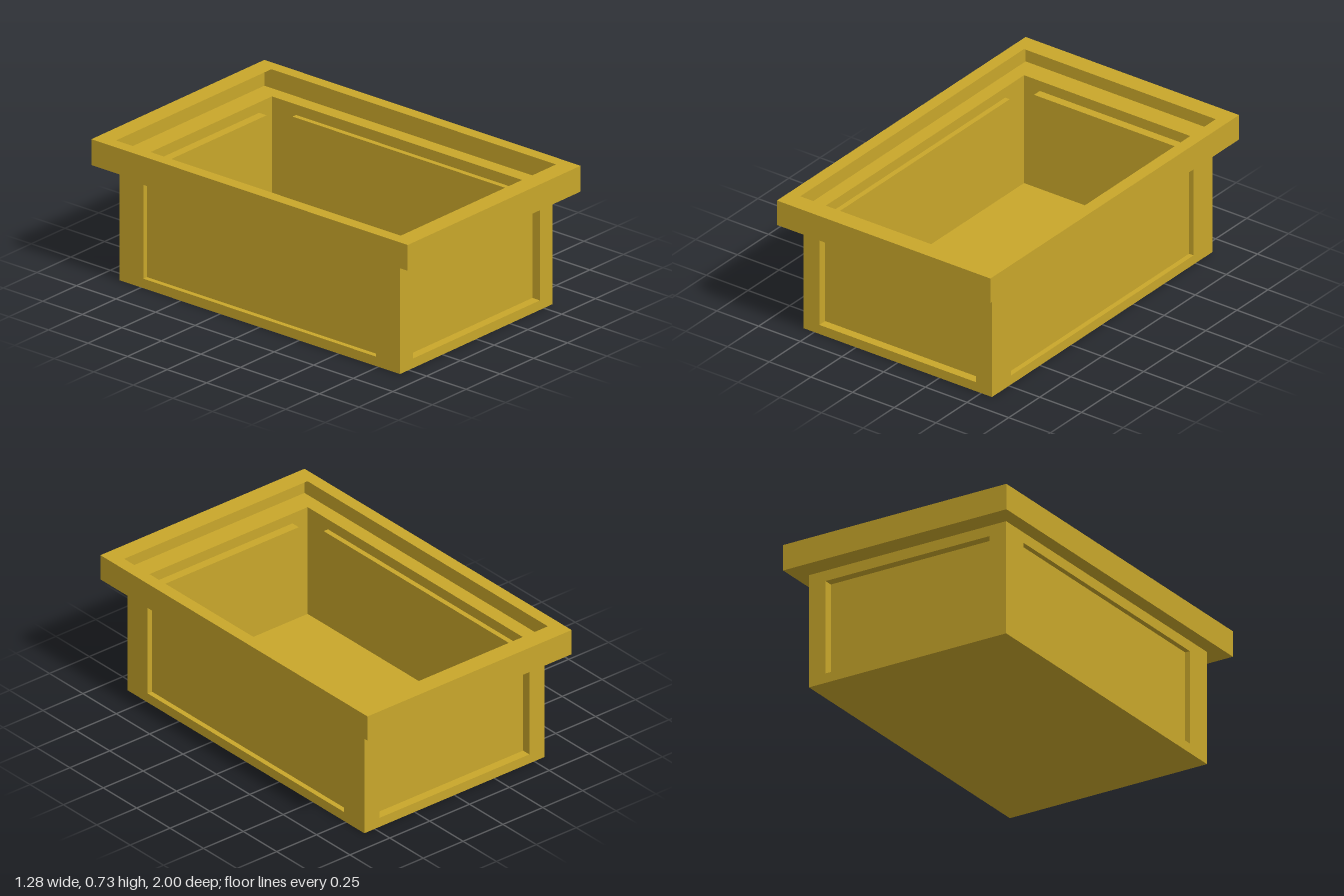
import * as THREE from 'three';

// The tub is folded from thin sheet, so every surface is two-sided.
const mustard = new THREE.MeshStandardMaterial({ color: 0xc9a72b, side: THREE.DoubleSide });
mustard.name = 'mustard sheet';

const BODY = { x: 0.565, z: 0.887, top: 0.595 };
const RIM = { x: 0.64, z: 1, top: 0.73 };
const PANEL = { bottom: 0.05, top: 0.54 };

function part(name, geometry) {
  const mesh = new THREE.Mesh(geometry, mustard);
  mesh.name = name;
  return mesh;
}

function rectangle(path, x0, y0, x1, y1) {
  path.moveTo(x0, y0);
  path.lineTo(x1, y0);
  path.lineTo(x1, y1);
  path.lineTo(x0, y1);
  path.closePath();
  return path;
}

// Flat sheet with a rectangular opening, each given as [x0, y0, x1, y1]
function frame(outer, inner) {
  const shape = rectangle(new THREE.Shape(), ...outer);
  shape.holes.push(rectangle(new THREE.Path(), ...inner));
  return new THREE.ShapeGeometry(shape);
}

// Open four-sided tube standing along y, with sharp corners
function squareTube(width, height, depth) {
  const tube = new THREE.CylinderGeometry(Math.SQRT1_2, Math.SQRT1_2, 1, 4, 1, true)
    .rotateY(Math.PI / 4)
    .scale(width, height, depth)
    .toNonIndexed();
  tube.computeVertexNormals();
  return tube;
}

// Body wall facing +z, with a panel pressed inwards
function wall(name, halfWidth, panelHalf, inset) {
  const group = new THREE.Group();
  group.name = name;
  const { bottom, top } = PANEL;
  const middle = (bottom + top) / 2;
  const height = top - bottom;

  group.add(part('wallFrame', frame(
    [-halfWidth, 0, halfWidth, BODY.top],
    [-panelHalf, bottom, panelHalf, top]
  )));
  group.add(part('recessedPanel',
    new THREE.PlaneGeometry(panelHalf * 2, height).translate(0, middle, -inset)));
  group.add(part('panelReveal',
    squareTube(panelHalf * 2, inset, height).rotateX(Math.PI / 2).translate(0, middle, -inset / 2)));
  return group;
}

// Horizontal flange between two half-size rectangles
function flange(name, outerX, outerZ, innerX, innerZ, y, facing) {
  const geometry = frame([-outerX, -outerZ, outerX, outerZ], [-innerX, -innerZ, innerX, innerZ]);
  return part(name, geometry.rotateX(-facing * Math.PI / 2).translate(0, y, 0));
}

export function createModel() {
  const tub = new THREE.Group();
  tub.name = 'tub';

  // Floor
  tub.add(part('floor', new THREE.PlaneGeometry(BODY.x * 2, BODY.z * 2).rotateX(Math.PI / 2)));

  // Four walls, mirrored in pairs
  for (const side of [1, -1]) {
    const end = wall(side > 0 ? 'frontWall' : 'backWall', BODY.x, 0.47, 0.047);
    end.position.z = side * BODY.z;
    end.rotation.y = side > 0 ? 0 : Math.PI;

    const long = wall(side > 0 ? 'leftWall' : 'rightWall', BODY.z, 0.735, 0.027);
    long.position.x = side * BODY.x;
    long.rotation.y = side * Math.PI / 2;
    tub.add(end, long);
  }

  // Hollow rim: lower ledge, outer band and top flange
  const rim = new THREE.Group();
  rim.name = 'rim';
  const height = RIM.top - BODY.top;
  rim.add(flange('rimLedge', RIM.x, RIM.z, BODY.x, BODY.z, BODY.top, -1));
  rim.add(part('rimBand',
    squareTube(RIM.x * 2, height, RIM.z * 2).translate(0, BODY.top + height / 2, 0)));
  rim.add(flange('rimTop', RIM.x, RIM.z, 0.575, 0.9, RIM.top, 1));
  tub.add(rim);

  return tub;
}
